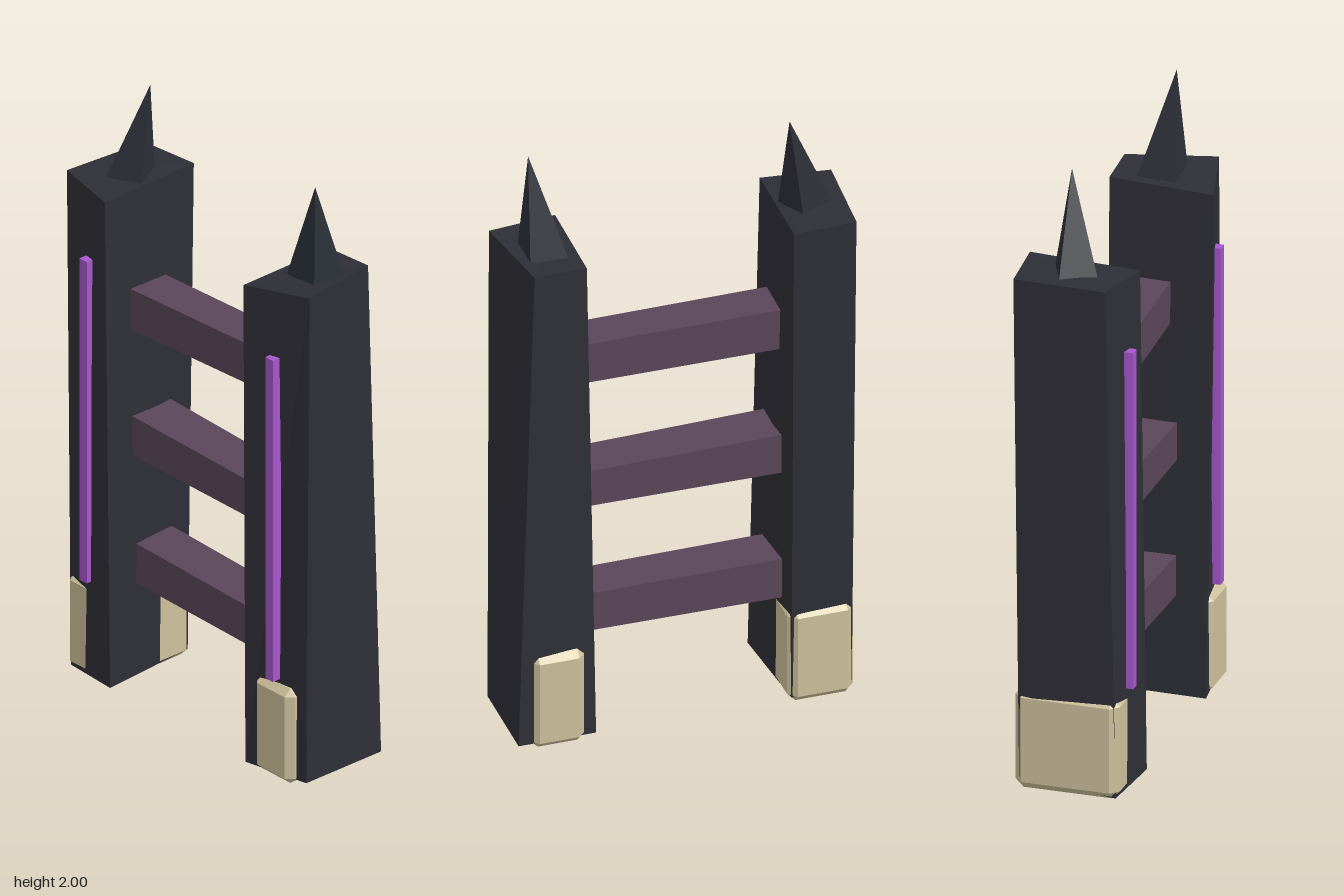
import * as THREE from 'three';
import { ConvexGeometry } from 'three/addons/geometries/ConvexGeometry.js';

const flat = (name, color, flatShading = true) =>
  Object.assign(new THREE.MeshStandardMaterial({ color, flatShading }), { name });

// Six-sided block from eight corners: bottom then top, each back -x, back +x, front +x, front -x
function hewnBlock(corners) {
  const geo = new THREE.BoxGeometry(1, 1, 1).toNonIndexed();
  const p = geo.attributes.position;
  for (let i = 0; i < p.count; i++) {
    const ring = p.getZ(i) < 0 ? (p.getX(i) < 0 ? 0 : 1) : (p.getX(i) > 0 ? 2 : 3);
    p.setXYZ(i, ...corners[ring + (p.getY(i) > 0 ? 4 : 0)]);
  }
  geo.computeVertexNormals();
  return geo;
}

// Box between two corners with all edges chamfered
function chamferedBox(min, max, bevel) {
  const points = [];
  for (let c = 0; c < 8; c++) {
    for (let axis = 0; axis < 3; axis++) {
      const v = [0, 1, 2].map((k) => {
        const inset = k === axis ? 0 : bevel;
        return (c >> k) & 1 ? max[k] - inset : min[k] + inset;
      });
      points.push(new THREE.Vector3(...v));
    }
  }
  return new ConvexGeometry(points);
}

export function createModel() {
  const group = new THREE.Group();
  const post = flat('dark post', 0x2e2e37);
  const spire = flat('dark spire', 0x2b2f37);
  const rung = flat('plum rung', 0x5a4659);
  const glow = flat('violet strip', 0xa657cc);
  const stone = flat('pale stone', 0xcdc09b);
  const add = (name, geo, mat) => {
    const mesh = new THREE.Mesh(geo, mat);
    mesh.name = name;
    group.add(mesh);
    return mesh;
  };

  // Uneven, hand-cut posts
  add('rightPost', hewnBlock([
    [-0.52, 0.04, -0.16], [-0.325, 0.02, -0.165], [-0.30, 0.02, 0.175], [-0.51, 0.005, 0.145],
    [-0.53, 1.685, -0.175], [-0.325, 1.69, -0.19], [-0.335, 1.68, 0.165], [-0.55, 1.69, 0.125],
  ]), post);
  add('leftPost', hewnBlock([
    [0.295, 0.01, -0.15], [0.548, 0.02, -0.165], [0.545, 0.02, 0.138], [0.30, 0.005, 0.165],
    [0.325, 1.675, -0.152], [0.495, 1.68, -0.16], [0.545, 1.69, 0.125], [0.313, 1.665, 0.185],
  ]), post);

  // Leaning four-sided spires
  const spires = {
    rightSpire: { apex: [-0.36, 2, -0.044], base: [[-0.505, -0.04], [-0.39, -0.09], [-0.34, 0.012], [-0.445, 0.07]] },
    leftSpire: { apex: [0.455, 2, 0.02], base: [[0.357, -0.076], [0.48, -0.076], [0.48, 0.047], [0.357, 0.047]] },
  };
  for (const [name, { apex, base }] of Object.entries(spires)) {
    const points = base.map(([x, z]) => new THREE.Vector3(x, 1.67, z));
    add(name, new ConvexGeometry([...points, new THREE.Vector3(...apex)]), spire);
  }

  // Rungs: low y, high y, back z, front z at the -x end, then at the +x end
  const rungs = [
    ['lowerRung', [0.338, 0.475, -0.095, 0.06], [0.333, 0.464, -0.08, 0.07]],
    ['middleRung', [0.78, 0.916, -0.09, 0.07], [0.778, 0.90, -0.08, 0.07]],
    ['upperRung', [1.21, 1.349, -0.07, 0.07], [1.226, 1.362, -0.09, 0.045]],
  ];
  for (const [name, [a0, a1, ab, af], [b0, b1, bb, bf]] of rungs) {
    const ring = (ya, yb) => [[-0.37, ya, ab], [0.37, yb, bb], [0.37, yb, bf], [-0.37, ya, af]];
    add(name, hewnBlock([...ring(a0, b0), ...ring(a1, b1)]), rung);
  }

  // Bright strips down the front of each post
  for (const side of [-1, 1]) {
    const strip = add(side < 0 ? 'rightStrip' : 'leftStrip', new THREE.BoxGeometry(0.034, 1.11, 0.06), glow);
    strip.position.set(side * 0.42, 0.895, 0.147);
  }

  // Chamfered stones showing through the feet of the posts
  add('rightFootStone', chamferedBox([-0.527, 0, -0.178], [-0.316, 0.33, 0.156], 0.026), stone);
  add('leftFootStone', chamferedBox([0.335, 0, -0.177], [0.505, 0.325, 0.17], 0.022), stone);

  return group;
}
